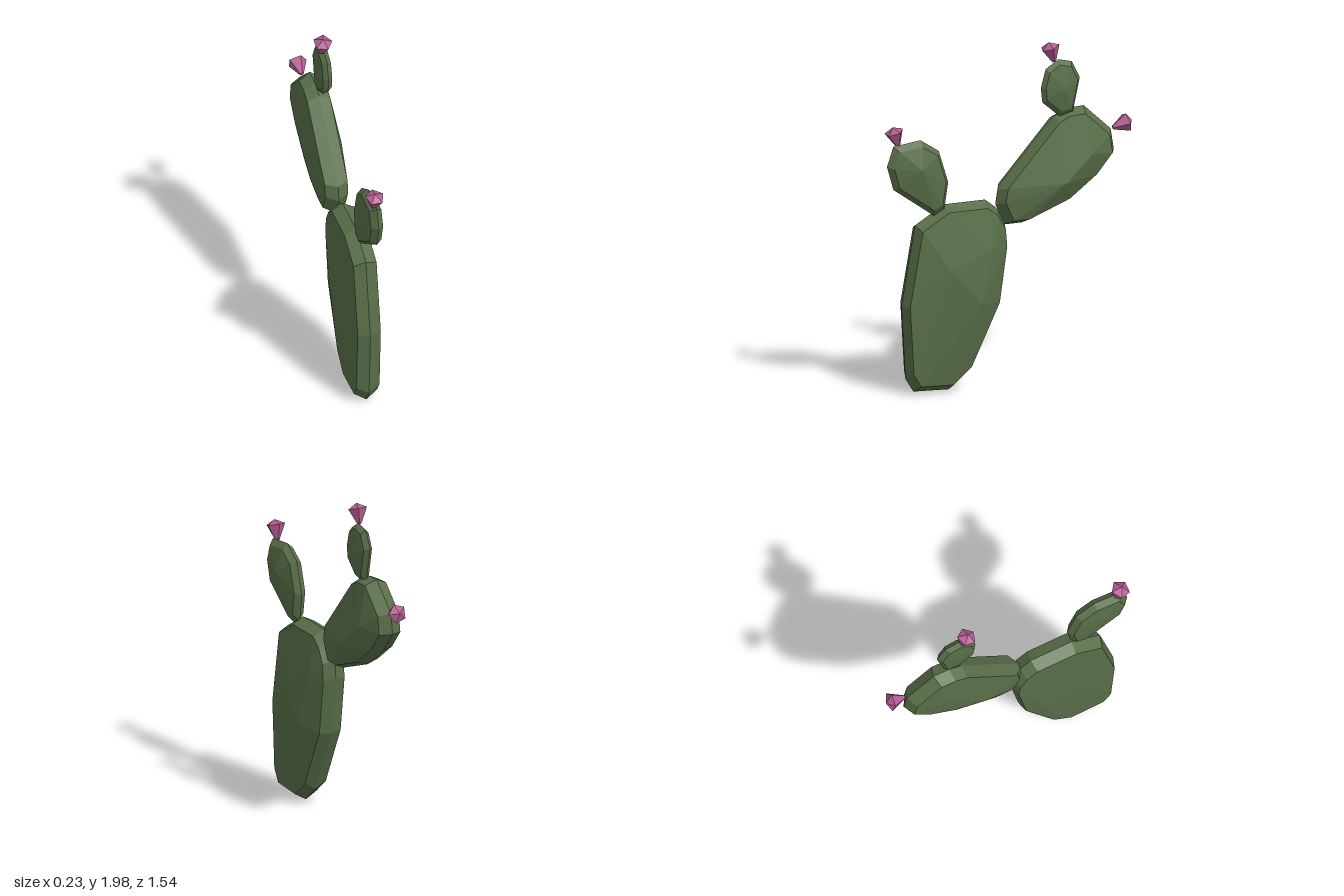
import * as THREE from 'three';
import { ConvexGeometry } from 'three/addons/geometries/ConvexGeometry.js';

const green = new THREE.MeshStandardMaterial({ color: 0x586e48 });
green.name = 'cactusGreen';
const pink = new THREE.MeshStandardMaterial({ color: 0xb45c92 });
pink.name = 'blossomPink';

// Faceted pad: a [z, y] outline as the rim, an inset loop on each side, and bulge points [x, y, z]
function pad(name, outline, { mid, left, right, inset, bulges }) {
  const n = outline.length;
  const cz = outline.reduce((s, p) => s + p[0], 0) / n;
  const cy = outline.reduce((s, p) => s + p[1], 0) / n;
  const points = bulges.map((b) => new THREE.Vector3(...b));
  for (const [z, y] of outline) {
    points.push(new THREE.Vector3(mid, y, z));
    const iz = cz + (z - cz) * inset, iy = cy + (y - cy) * inset;
    points.push(new THREE.Vector3(left, iy, iz), new THREE.Vector3(right, iy, iz));
  }
  const mesh = new THREE.Mesh(new ConvexGeometry(points), green);
  mesh.name = name;
  return mesh;
}

// Five-sided blossom growing from a base point along a direction
function blossom(name, base, dir, spin) {
  const profile = [[0, 0], [0.012, 0], [0.057, 0.092], [0, 0.122]].map((p) => new THREE.Vector2(...p));
  const geometry = new THREE.LatheGeometry(profile, 5, spin).toNonIndexed();
  geometry.computeVertexNormals();
  const mesh = new THREE.Mesh(geometry, pink);
  mesh.name = name;
  mesh.position.set(...base);
  mesh.quaternion.setFromUnitVectors(new THREE.Vector3(0, 1, 0), new THREE.Vector3(...dir).normalize());
  return mesh;
}

export function createModel() {
  const cactus = new THREE.Group();
  cactus.name = 'cactus';

  cactus.add(
    pad('mainPad', [
      [0.6, 0.01], [0.38, 0], [0.26, 0.1], [0.07, 0.49], [0.02, 0.84], [0.03, 0.95], [0.08, 1.04],
      [0.15, 1.095], [0.41, 1.095], [0.59, 0.99], [0.675, 0.52], [0.65, 0.09],
    ], {
      mid: -0.025, left: -0.093, right: 0.045, inset: 0.93,
      bulges: [[0.112, 0.52, 0.23], [0.098, 0.73, 0.42], [0.085, 0.83, 0.15], [-0.115, 0.5, 0.2], [-0.108, 0.55, 0.45]],
    }),
    pad('frontPad', [
      [0.48, 1.04], [0.735, 1.22], [0.775, 1.36], [0.735, 1.475], [0.565, 1.495], [0.45, 1.42],
      [0.39, 1.23], [0.415, 1.07],
    ], {
      mid: -0.005, left: -0.042, right: 0.03, inset: 0.84,
      bulges: [[0.065, 1.33, 0.58], [-0.055, 1.3, 0.6]],
    }),
    pad('backPad', [
      [0.085, 1.06], [0.07, 1.15], [-0.29, 1.545], [-0.37, 1.58], [-0.47, 1.585], [-0.64, 1.43],
      [-0.66, 1.31], [-0.55, 1.18], [-0.36, 1.04], [-0.08, 0.935], [0.03, 0.935],
    ], {
      mid: -0.025, left: -0.095, right: 0.042, inset: 0.9,
      bulges: [[0.112, 1.17, -0.3], [0.093, 1.32, -0.47], [-0.115, 1.05, -0.18], [-0.11, 1.3, -0.4]],
    }),
    pad('topPad', [
      [-0.305, 1.545], [-0.2, 1.635], [-0.19, 1.72], [-0.22, 1.83], [-0.3, 1.88], [-0.385, 1.86],
      [-0.435, 1.76], [-0.39, 1.555],
    ], {
      mid: 0, left: -0.026, right: 0.028, inset: 0.82,
      bulges: [[0.05, 1.71, -0.32], [-0.034, 1.7, -0.31]],
    }),
    blossom('topBlossom', [-0.015, 1.865, -0.28], [0, 1, 0.3], 0.3),
    blossom('frontBlossom', [-0.015, 1.47, 0.7], [0, 1, 0.3], 0.6),
    blossom('backBlossom', [-0.015, 1.435, -0.65], [0, 0.3, -1], 0.3),
  );
  return cactus;
}
